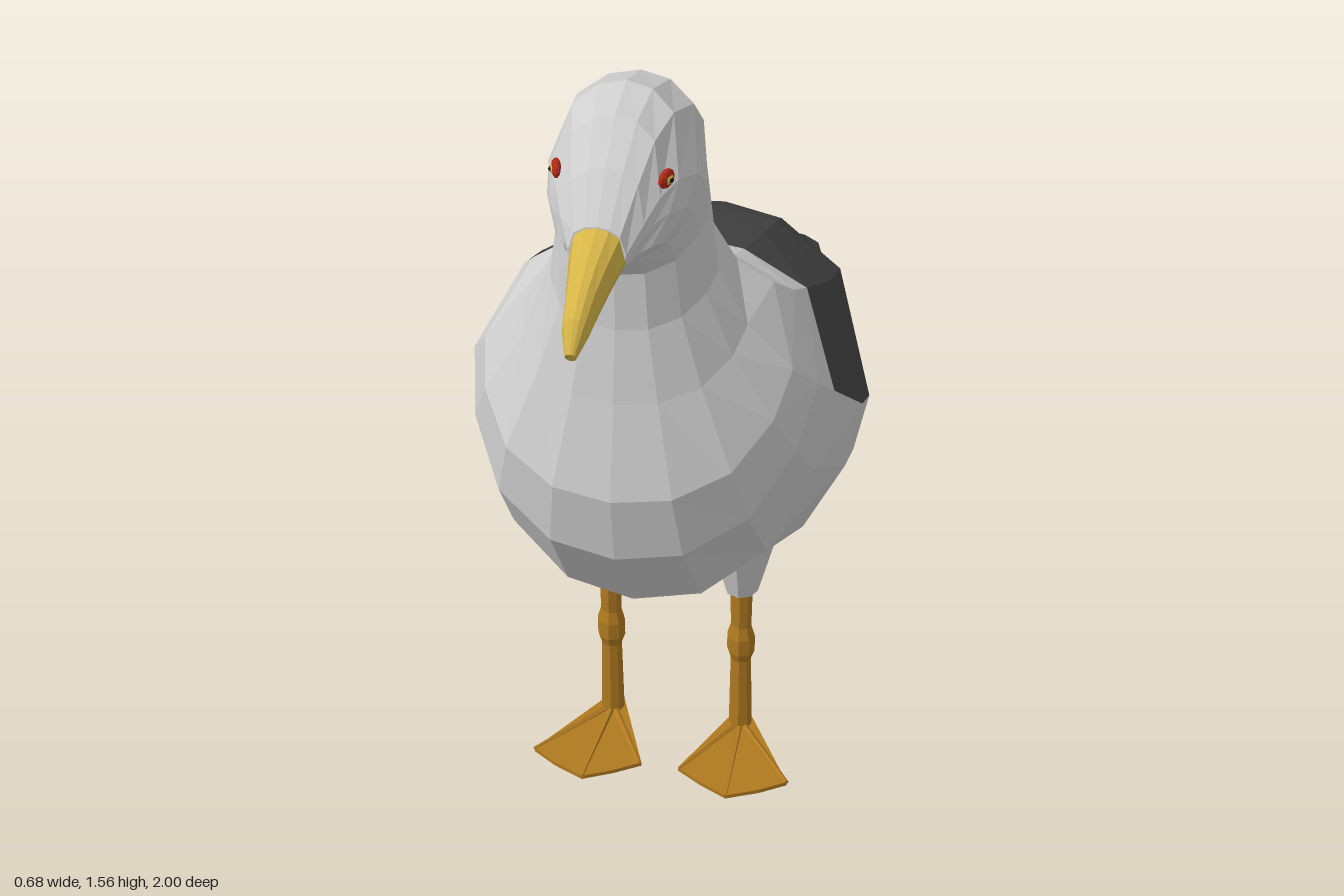
import * as THREE from 'three';

const mat = (name, color) => {
  const m = new THREE.MeshStandardMaterial({ color, flatShading: true });
  m.name = name;
  return m;
};

// Half cross-section: [share of half width, height from -1 (top) through 0 (widest) to 1 (bottom)]
const HALF = [[0, -1], [0.42, -0.93], [0.79, -0.7], [1, 0], [0.93, 0.35], [0.72, 0.72], [0.38, 0.94], [0, 1]];
const RING = [...HALF, ...HALF.slice(1, -1).reverse().map(([x, f]) => [-x, f])];
const N = RING.length;
const isUpper = (j) => j < 3 || j >= N - 3;

// Tilted rings, each row: top z, top y, bottom z, bottom y, half width, widest point (0 top to 1 bottom)
function loft(rows, pick) {
  const rings = rows.map(([zt, yt, zb, yb, hw, w]) => RING.map(([x, f]) => {
    const t = f < 0 ? w * (1 + f) : w + (1 - w) * f;
    return [x * hw, yt + (yb - yt) * t, zt + (zb - zt) * t];
  }));
  const buckets = [[], []];
  const centre = (r) => [0, (r[0][1] + r[7][1]) / 2, (r[0][2] + r[7][2]) / 2];
  const first = rings[0], last = rings[rings.length - 1];
  for (let j = 0; j < N; j++) {
    const k = (j + 1) % N;
    for (let i = 0; i < rings.length - 1; i++) {
      const [a, b, c, d] = [rings[i][j], rings[i][k], rings[i + 1][k], rings[i + 1][j]];
      buckets[pick(i, j)].push(...a, ...d, ...c, ...a, ...c, ...b);
    }
    buckets[0].push(...centre(first), ...first[j], ...first[k]);
    buckets[0].push(...centre(last), ...last[k], ...last[j]);
  }
  const g = new THREE.BufferGeometry();
  g.setAttribute('position', new THREE.Float32BufferAttribute([...buckets[0], ...buckets[1]], 3));
  g.addGroup(0, buckets[0].length / 3, 0);
  g.addGroup(buckets[0].length / 3, buckets[1].length / 3, 1);
  g.computeVertexNormals();
  return g;
}

export function createModel() {
  const model = new THREE.Group();
  model.name = 'seabird';
  const white = mat('pale feathers', 0xcecece);
  const dark = mat('dark feathers', 0x444444);
  const yellow = mat('beak yellow', 0xd6b548);
  const red = mat('red', 0xb02a18);
  const ochre = mat('leg ochre', 0xb07a20);
  const black = mat('pupil black', 0x151515);

  const add = (parent, name, geometry, material, x = 0, y = 0, z = 0) => {
    const m = new THREE.Mesh(geometry, material);
    m.name = name;
    m.position.set(x, y, z);
    parent.add(m);
    return m;
  };
  const lathe = (points, sides) =>
    new THREE.LatheGeometry(points.map(([r, y]) => new THREE.Vector2(r, y)), sides);

  // Body, neck and head in one skin, with the dark folded wings on the back
  const body = [
    [-1.0, 0.4, -0.935, 0.3, 0.09, 0.55],
    [-0.37, 0.78, -0.34, 0.4, 0.215, 0.62],
    [-0.22, 0.9, -0.08, 0.36, 0.27, 0.58],
    [0, 1.02, 0.15, 0.37, 0.335, 0.52],
    [0.14, 1.07, 0.3, 0.41, 0.34, 0.48],
    [0.28, 1.11, 0.62, 0.56, 0.315, 0.38],
    [0.34, 1.13, 0.75, 0.74, 0.3, 0.4],
    [0.38, 1.16, 0.77, 0.87, 0.265, 0.45],
    [0.4, 1.19, 0.735, 1.04, 0.19, 0.5],
    [0.41, 1.25, 0.715, 1.17, 0.14, 0.5],
    [0.41, 1.36, 0.71, 1.27, 0.125, 0.5],
    [0.43, 1.46, 0.745, 1.315, 0.124, 0.5],
    [0.5, 1.53, 0.775, 1.325, 0.12, 0.5],
    [0.6, 1.56, 0.795, 1.33, 0.103, 0.5],
    [0.68, 1.54, 0.8, 1.33, 0.083, 0.5],
    [0.75, 1.485, 0.81, 1.33, 0.066, 0.5],
    [0.815, 1.415, 0.82, 1.33, 0.046, 0.5],
  ];
  add(model, 'bodyAndHead', loft(body, (i, j) => (i < 5 && isUpper(j) ? 1 : 0)), [white, dark]);

  // Hooked beak with a red patch under the tip
  const beak = [
    [0.8, 1.418, 0.79, 1.322, 0.048, 0.5],
    [0.87, 1.395, 0.86, 1.313, 0.036, 0.55],
    [0.92, 1.375, 0.905, 1.302, 0.028, 0.55],
    [0.97, 1.345, 0.955, 1.293, 0.021, 0.55],
    [1.0, 1.3, 0.99, 1.283, 0.009, 0.5],
  ];
  add(model, 'beak', loft(beak, (i, j) => (i === 2 && j > 3 && j < N - 4 ? 1 : 0)), [yellow, red]);

  for (const s of [1, -1]) {
    const side = s > 0 ? 'left' : 'right';

    // Eye: red rim, yellow iris, black pupil
    const eye = new THREE.Group();
    eye.name = side + 'Eye';
    eye.position.set(s * 0.087, 1.455, 0.715);
    eye.rotation.y = -s * 0.35;
    [[0.02, 0.009, red], [0.013, 0.0115, yellow], [0.008, 0.0135, black]].forEach(([r, depth, m], i) => {
      add(eye, ['rim', 'iris', 'pupil'][i], new THREE.SphereGeometry(1, 10, 6), m)
        .scale.set(depth, r * 0.8, r);
    });
    model.add(eye);

    // Feathered thigh and jointed shin
    const leg = new THREE.Group();
    leg.name = side + 'Leg';
    add(leg, 'thigh', lathe([[0, 0.335], [0.032, 0.335], [0.052, 0.41], [0.075, 0.5]], 8), white, s * 0.128, 0, 0.262);
    add(leg, 'shin', lathe([[0, 0.002], [0.023, 0.002], [0.02, 0.17], [0.027, 0.19],
      [0.027, 0.225], [0.02, 0.25], [0.022, 0.35]], 8), ochre, s * 0.128, 0, 0.262);

    // Webbed foot with three raised toes
    const tips = [[0.04, 0.42], [0.14, 0.48], [0.248, 0.42]];
    const web = new THREE.Shape([[0.11, 0.24], [0.146, 0.24], [0.248, 0.42], [0.2, 0.452],
      [0.14, 0.48], [0.085, 0.452], [0.036, 0.42]].map(([x, z]) => new THREE.Vector2(s * x, z)));
    const webGeo = new THREE.ExtrudeGeometry(web, { depth: 0.008, bevelEnabled: false });
    webGeo.rotateX(Math.PI / 2);
    add(leg, 'web', webGeo, ochre, 0, 0.008, 0);
    for (const [x, z] of tips) {
      const from = new THREE.Vector3(s * 0.128, 0.009, 0.262);
      const to = new THREE.Vector3(s * x, 0.007, z);
      const dir = to.clone().sub(from);
      const toe = add(leg, 'toe', new THREE.CylinderGeometry(0.004, 0.007, dir.length(), 5), ochre);
      toe.position.copy(from).add(to).multiplyScalar(0.5);
      toe.quaternion.setFromUnitVectors(new THREE.Vector3(0, 1, 0), dir.normalize());
    }
    model.add(leg);
  }
  return model;
}
